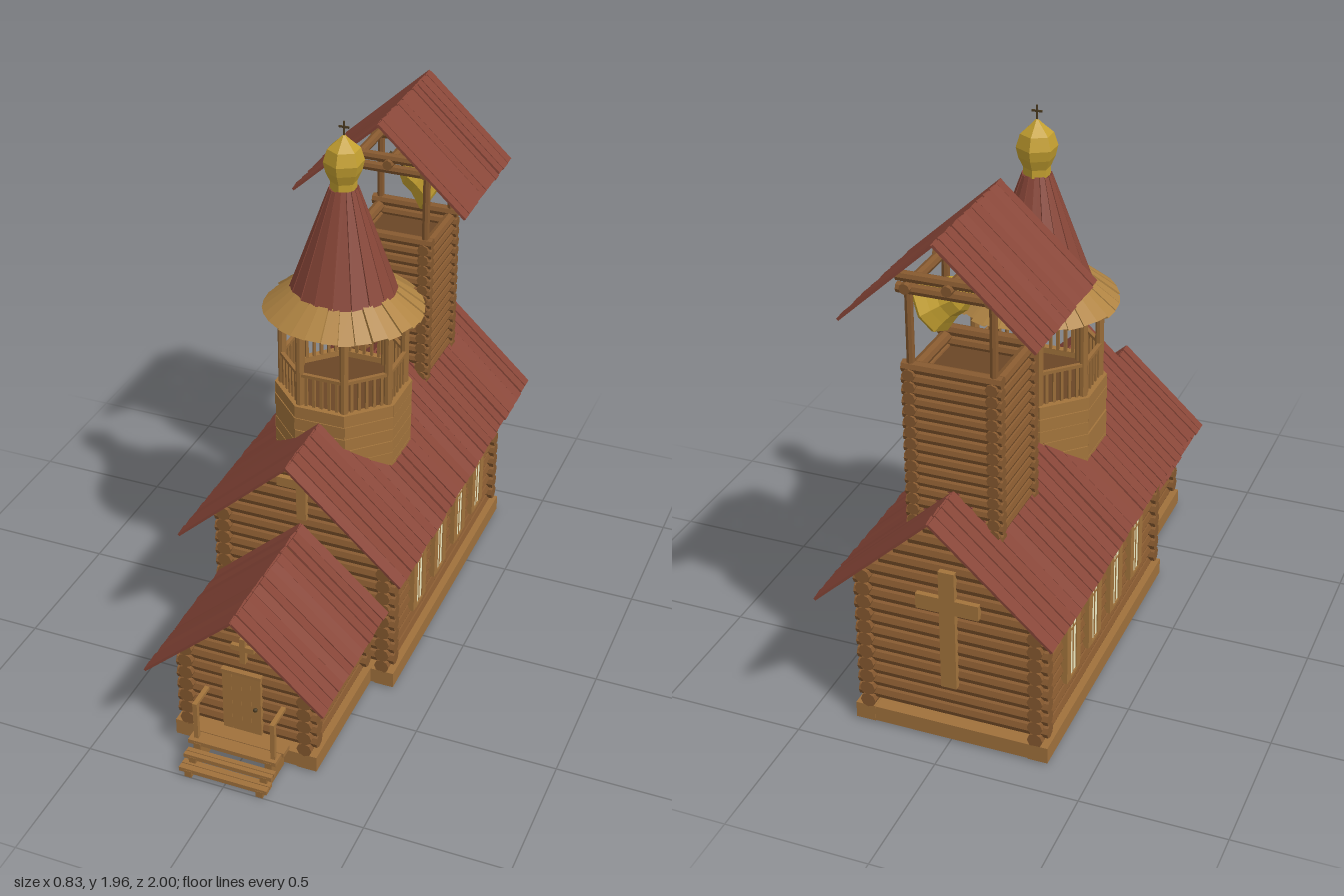
import * as THREE from 'three';

const mat = (color, side = THREE.FrontSide) =>
  new THREE.MeshStandardMaterial({ color, flatShading: true, side });
const M = {
  log: mat(0x86592f), beam: mat(0xa0713c), trim: mat(0xa3743c), plank: mat(0x9a6c38),
  skirt: mat(0xb08443), roof: mat(0x884638), gold: mat(0xc4a030, THREE.DoubleSide),
  glass: mat(0xf0ecc4), dark: mat(0x6b4626), iron: mat(0x4a3a20),
};

let seed = 7;
const jitter = (a) => {
  seed = (seed * 16807) % 2147483647;
  return (seed / 2147483647 - 0.5) * 2 * a;
};

function group(parent, name) {
  const g = new THREE.Group();
  g.name = name;
  parent.add(g);
  return g;
}
function add(parent, name, geo, m, x = 0, y = 0, z = 0) {
  const mesh = new THREE.Mesh(geo, m);
  mesh.name = name;
  mesh.position.set(x, y, z);
  parent.add(mesh);
  return mesh;
}
const box = (p, name, w, h, d, m, x, y, z) => add(p, name, new THREE.BoxGeometry(w, h, d), m, x, y, z);
const lathe = (pts, n) => new THREE.LatheGeometry(pts.map(([r, y]) => new THREE.Vector2(r, y)), n);

// Round log lying along x or z
function log(p, axis, len, r, x, y, z) {
  const l = add(p, 'log', new THREE.CylinderGeometry(r, r, len, 8), M.log, x, y, z);
  if (axis === 'x') l.rotation.z = Math.PI / 2;
  else l.rotation.x = Math.PI / 2;
}

// Log cabin: crossed corners; the end walls may run on up under a gable
function logWalls(p, name, { hx, z0, z1, y0, y1, r, over, step, peak, slope }) {
  const g = group(p, name);
  const zc = (z0 + z1) / 2;
  for (let y = y0; y <= y1; y += step)
    for (const s of [-1, 1]) log(g, 'z', z1 - z0 + 2 * over, r, s * hx, y, zc);
  for (let y = y0 + step / 2; y < (peak ?? y1 + step * 0.4); y += step) {
    const half = Math.min(hx + over, peak ? (peak - 0.015 - r - y) / slope : 9);
    if (half < 0.01) break;
    for (const z of [z0, z1]) log(g, 'x', half * 2, r, 0, y, z);
  }
}

// Gabled roof of separate, slightly uneven boards
function plankRoof(p, name, ridge, eave, hw, z0, z1, n) {
  const g = group(p, name);
  const pitch = (z1 - z0) / n, ang = Math.atan2(ridge - eave, hw);
  const len = Math.hypot(ridge - eave, hw);
  for (const s of [-1, 1])
    for (let i = 0; i < n; i++) {
      const b = box(g, 'roofBoard', len + jitter(0.006), 0.009, pitch * 0.93, M.roof,
        s * hw / 2, (ridge + eave) / 2 - 0.005, z0 + pitch * (i + 0.5));
      b.rotation.set(0, jitter(0.015), -s * ang);
      b.rotateX(jitter(0.12));
    }
}

// Ring of tapered boards between a lower and an upper [radius, y]
function boardRing(p, name, n, low, high, m, thick, wobble) {
  const g = group(p, name);
  for (let i = 0; i < n; i++) {
    const geo = new THREE.BoxGeometry(), a = geo.attributes.position;
    const dy = jitter(wobble);
    for (let j = 0; j < a.count; j++) {
      const [r, y] = a.getY(j) > 0 ? high : low;
      const depth = a.getZ(j) * thick;
      a.setXYZ(j, a.getX(j) * 2 * r * Math.tan(Math.PI / n) * 0.97, y + dy + depth * 0.5, r + depth);
    }
    geo.computeVertexNormals();
    add(g, 'board', geo, m).rotation.set(0, (i / n) * Math.PI * 2 + jitter(wobble), 0);
  }
}

function cross(p, name, y0, y1, arm, armY, w, z) {
  const g = group(p, name);
  box(g, 'upright', w, y1 - y0, 0.025, M.trim, 0, (y0 + y1) / 2, z);
  box(g, 'arm', arm * 2, w, 0.025, M.trim, 0, armY, z);
}

// Sill beams under the walls
function base(p, name, hx, z0, z1) {
  const g = group(p, name), w = 0.07;
  for (const s of [-1, 1]) box(g, 'sideBeam', w, 0.06, z1 - z0, M.beam, s * (hx - w / 2), 0.035, (z0 + z1) / 2);
  for (const z of [z0 + w / 2, z1 - w / 2]) box(g, 'endBeam', hx * 2 - 0.01, 0.057, w - 0.003, M.beam, 0, 0.035, z);
}

function windowUnit(p, side, z) {
  const g = group(p, 'window');
  g.position.set(side * 0.325, 0.325, z);
  box(g, 'pane', 0.012, 0.27, 0.07, M.glass, side * 0.005, 0, 0);
  for (const s of [-1, 1]) {
    box(g, 'shutter', 0.022, 0.28, 0.036, M.trim, side * 0.004, 0, s * 0.045);
    box(g, 'frameBar', 0.022, 0.012, 0.07, M.trim, side * 0.004, s * 0.138, 0);
  }
  box(g, 'mullion', 0.018, 0.27, 0.007, M.trim, side * 0.004, 0, 0);
  box(g, 'crossbar', 0.018, 0.007, 0.06, M.trim, side * 0.004, 0.05, 0);
}

function porch(p) {
  base(p, 'porchBase', 0.26, 0.3, 0.82);
  logWalls(p, 'porchWalls', { hx: 0.215, z0: 0.33, z1: 0.78, y0: 0.085, y1: 0.39, r: 0.027, over: 0.04, step: 0.05, peak: 0.62, slope: 0.906 });
  plankRoof(p, 'porchRoof', 0.625, 0.335, 0.32, 0.32, 0.91, 13);
  cross(p, 'porchCross', 0.39, 0.49, 0.042, 0.45, 0.02, 0.81);
  const door = group(p, 'door');
  door.position.set(-0.01, 0.215, 0.805);
  for (let i = 0; i < 4; i++) box(door, 'doorBoard', 0.0345, 0.24, 0.025, M.trim, (i - 1.5) * 0.035, 0, 0);
  box(door, 'lintel', 0.145, 0.012, 0.03, M.beam, 0, 0.122, 0);
  add(door, 'knob', new THREE.SphereGeometry(0.008, 8, 6), M.iron, 0.052, -0.01, 0.018);
  // Steps and handrails
  const steps = group(p, 'steps');
  [[0.82, 0.925, 0.085], [0.925, 0.965, 0.055], [0.95, 1.0, 0.025]].forEach(([a, b, y]) => {
    for (let i = 0; i < 2; i++) box(steps, 'tread', 0.32, 0.016, (b - a) / 2 - 0.003, M.beam, jitter(0.004), y, a + (b - a) * (i + 0.5) / 2);
    for (const s of [-1, 1]) box(steps, 'stringer', 0.025, y, b - a, M.plank, s * 0.13, y / 2, (a + b) / 2);
  });
  for (const s of [-1, 1]) {
    box(steps, 'railPost', 0.016, 0.15, 0.016, M.trim, s * 0.14, 0.16, 0.9);
    box(steps, 'handrail', 0.016, 0.012, 0.1, M.trim, s * 0.14, 0.235, 0.86);
  }
}

function domeTower(p) {
  const t = group(p, 'domeTower');
  t.position.z = -0.065;
  const side = 2 * 0.22 * Math.tan(Math.PI / 8);
  for (let i = 0; i < 8; i++) {
    const s = group(t, 'towerSide');
    s.rotation.y = i * Math.PI / 4;
    for (let k = 0; k < 6; k++) box(s, 'drumBoard', side, 0.045, 0.025, M.trim, 0, 0.722 + k * 0.0475, 0.2075 + jitter(0.003));
    for (let k = -2; k <= 2; k++) box(s, 'baluster', 0.01, 0.12, 0.01, M.plank, k * 0.028, 1.04, 0.2);
    box(s, 'rail', 0.166, 0.012, 0.014, M.plank, 0, 1.1, 0.2);
    box(s, 'topBeam', 0.17, 0.025, 0.025, M.beam, 0, 1.275, 0.2);
    const c = group(t, 'corner');
    c.rotation.y = (i + 0.5) * Math.PI / 4;
    add(c, 'post', new THREE.CylinderGeometry(0.015, 0.015, 0.34, 8), M.plank, 0, 1.13, 0.212);
  }
  add(t, 'floor', new THREE.CylinderGeometry(0.215, 0.215, 0.02, 8), M.dark, 0, 0.95, 0).rotation.y = Math.PI / 8;
  boardRing(t, 'skirtRoof', 30, [0.272, 1.278], [0.172, 1.358], M.skirt, 0.012, 0.008);
  boardRing(t, 'spire', 18, [0.178, 1.352], [0.045, 1.725], M.roof, 0.01, 0.003);
  const onion = [[0.046, 1.71], [0.046, 1.75], [0.062, 1.785], [0.07, 1.82], [0.056, 1.865], [0.025, 1.892], [0.001, 1.915]];
  add(t, 'onionDome', lathe(onion, 6), M.gold);
  box(t, 'finial', 0.006, 0.06, 0.006, M.iron, 0, 1.93, 0);
  box(t, 'finialArm', 0.036, 0.006, 0.006, M.iron, 0, 1.94, 0);
}

function belfry(p) {
  const b = group(p, 'belfry');
  b.position.z = -0.64;
  logWalls(b, 'belfryWalls', { hx: 0.138, z0: -0.138, z1: 0.138, y0: 0.68, y1: 1.325, r: 0.021, over: 0.028, step: 0.04 });
  box(b, 'belfryFloor', 0.27, 0.02, 0.27, M.dark, 0, 1.28, 0);
  for (const x of [-1, 1]) {
    for (const z of [-1, 1])
      add(b, 'post', new THREE.CylinderGeometry(0.014, 0.014, 0.34, 8), M.log, x * 0.138, 1.48, z * 0.138);
    log(b, 'z', 0.34, 0.018, x * 0.138, 1.615, 0);
    for (const y of [1.605, 1.645]) log(b, 'x', 0.35, 0.018, 0, y, x * 0.138);
  }
  log(b, 'z', 0.34, 0.018, 0, 1.63, 0);
  plankRoof(b, 'belfryRoof', 1.825, 1.53, 0.32, -0.265, 0.27, 11);
  // Thick-lipped bell caught in mid swing
  const bell = group(b, 'bell');
  bell.position.set(0, 1.565, 0);
  bell.rotation.z = Math.PI / 3;
  const shell = [[0.001, -0.03], [0.045, -0.045], [0.052, -0.12], [0.06, -0.145], [0.092, -0.152],
    [0.097, -0.142], [0.08, -0.11], [0.066, -0.08], [0.06, -0.04], [0.04, -0.01], [0.001, 0]];
  add(bell, 'bellShell', lathe(shell, 8), M.gold);
  add(bell, 'clapper', new THREE.CylinderGeometry(0.006, 0.014, 0.11, 6), M.gold, 0, -0.09, 0);
  add(bell, 'hanger', new THREE.CylinderGeometry(0.01, 0.01, 0.07, 6), M.iron, 0, 0.03, 0);
}

export function createModel() {
  const model = new THREE.Group();
  model.name = 'woodenChurch';
  // Nave
  base(model, 'naveBase', 0.345, -0.87, 0.32);
  logWalls(model, 'naveWalls', { hx: 0.3, z0: -0.83, z1: 0.28, y0: 0.085, y1: 0.6, r: 0.027, over: 0.04, step: 0.05, peak: 0.93, slope: 0.927 });
  plankRoof(model, 'naveRoof', 0.935, 0.555, 0.41, -1.0, 0.45, 28);
  for (const s of [-1, 1])
    for (const z of [0.04, -0.18, -0.4, -0.61]) windowUnit(model, s, z);
  cross(model, 'frontCross', 0.64, 0.85, 0.09, 0.78, 0.035, 0.31);
  cross(model, 'backCross', 0.22, 0.67, 0.11, 0.54, 0.055, -0.86);
  porch(model);
  domeTower(model);
  belfry(model);
  return model;
}
